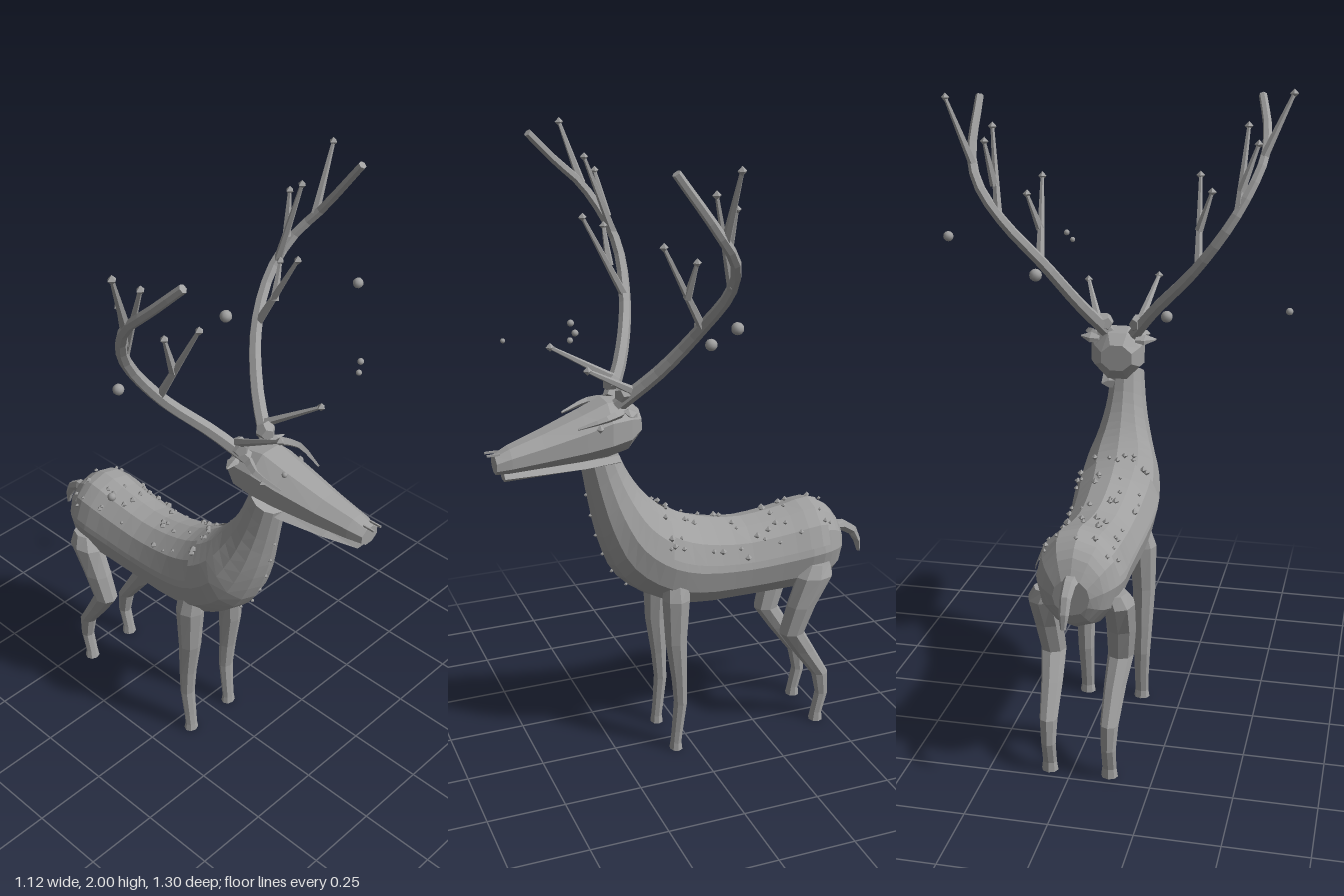
import * as THREE from 'three';

const V = (x, y, z) => new THREE.Vector3(x, y, z);
const CX = -0.025; // midline of the body

// Faceted skin through rings of points; closed rings get end caps and outward winding
function loft(rings, closed = true) {
  const pos = [], n = rings[0].length;
  const tri = (a, b, c) => pos.push(...a.toArray(), ...b.toArray(), ...c.toArray());
  for (let i = 0; i < rings.length - 1; i++) {
    for (let j = 0; j < (closed ? n : n - 1); j++) {
      const k = (j + 1) % n, A = rings[i], B = rings[i + 1];
      tri(A[j], A[k], B[k]);
      tri(A[j], B[k], B[j]);
    }
  }
  if (closed) {
    const cap = (r, flip) => {
      const c = V(0, 0, 0);
      r.forEach(p => c.addScaledVector(p, 1 / n));
      for (let j = 0; j < n; j++) {
        const a = r[j], b = r[(j + 1) % n];
        flip ? tri(c, b, a) : tri(c, a, b);
      }
    };
    cap(rings[0], true);
    cap(rings[rings.length - 1], false);
    let vol = 0;
    for (let i = 0; i < pos.length; i += 9) {
      const a = V(...pos.slice(i, i + 3)), b = V(...pos.slice(i + 3, i + 6)), c = V(...pos.slice(i + 6, i + 9));
      vol += a.dot(b.cross(c));
    }
    if (vol < 0) {
      for (let i = 0; i < pos.length; i += 9) {
        for (let k = 0; k < 3; k++) [pos[i + 3 + k], pos[i + 6 + k]] = [pos[i + 6 + k], pos[i + 3 + k]];
      }
    }
  }
  const g = new THREE.BufferGeometry();
  g.setAttribute('position', new THREE.Float32BufferAttribute(pos, 3));
  g.computeVertexNormals();
  return g;
}

// Elliptical ring from a centre and two half axes
function ring(c, u, v, n, a0 = 0, a1 = Math.PI * 2, closed = true) {
  return Array.from({ length: n }, (_, j) => {
    const a = a0 + (a1 - a0) * j / (closed ? n : n - 1);
    return c.clone().addScaledVector(u, Math.cos(a)).addScaledVector(v, Math.sin(a));
  });
}

// Tapered tube along a smooth path
function branch(pts, r0, r1, steps, sides) {
  const curve = new THREE.CatmullRomCurve3(pts.map(p => V(...p)));
  const f = curve.computeFrenetFrames(steps);
  return loft(Array.from({ length: steps + 1 }, (_, i) => {
    const r = r0 + (r1 - r0) * i / steps;
    return ring(curve.getPointAt(i / steps), f.normals[i].clone().multiplyScalar(r),
      f.binormals[i].clone().multiplyScalar(r), sides);
  }));
}

export function createModel() {
  const model = new THREE.Group();
  const grey = new THREE.MeshStandardMaterial({ color: 0xa0a0a0 });
  grey.name = 'grey';
  const shellGrey = new THREE.MeshStandardMaterial({ color: 0xa0a0a0, side: THREE.DoubleSide });
  shellGrey.name = 'shell grey';
  const add = (name, geo, mat = grey, parent = model) => {
    const m = new THREE.Mesh(geo, mat);
    m.name = name;
    parent.add(m);
    return m;
  };

  // Body and neck stations: top z, top y, bottom z, bottom y, half width
  const stations = [
    [-0.56, 0.68, -0.55, 0.565, 0.055], [-0.52, 0.75, -0.52, 0.52, 0.1], [-0.45, 0.785, -0.45, 0.49, 0.13],
    [-0.32, 0.765, -0.32, 0.485, 0.125], [-0.17, 0.755, -0.18, 0.485, 0.122], [-0.01, 0.79, -0.02, 0.49, 0.13],
    [0.07, 0.835, 0.12, 0.535, 0.137], [0.12, 0.88, 0.235, 0.63, 0.125], [0.16, 0.93, 0.29, 0.76, 0.095],
    [0.2, 1.0, 0.32, 0.9, 0.07], [0.24, 1.1, 0.345, 1.05, 0.055],
  ];
  const topLine = new THREE.CatmullRomCurve3(stations.map(s => V(s[4], s[1], s[0])));
  const bottomLine = new THREE.CatmullRomCurve3(stations.map(s => V(0, s[3], s[2])));
  const section = t => {
    const a = topLine.getPoint(t), b = bottomLine.getPoint(t), w = a.x;
    a.x = b.x = CX + 0.02 * Math.max(0, t - 0.6);
    return { c: a.clone().add(b).multiplyScalar(0.5), u: V(w, 0, 0), v: a.clone().sub(b).multiplyScalar(0.5) };
  };
  const bodyRings = [];
  for (let i = 0; i <= 26; i++) {
    const s = section(i / 26);
    bodyRings.push(ring(s.c, s.u, s.v, 12));
  }
  add('body', loft(bodyRings));

  // Thin raised coat over the back
  const coat = [];
  for (let i = 0; i <= 12; i++) {
    const s = section(0.17 + 0.42 * i / 12);
    coat.push(ring(s.c, s.u.multiplyScalar(1.04), s.v.multiplyScalar(1.05), 7, Math.PI * 0.06, Math.PI * 0.94, false));
  }
  add('backCoat', loft(coat, false), shellGrey);

  // Small studs scattered over the back and neck
  let seed = 7;
  const rand = () => (seed = (seed * 16807) % 2147483647) / 2147483647;
  const studs = new THREE.Group();
  studs.name = 'backStuds';
  model.add(studs);
  for (let i = 0; i < 54; i++) {
    const s = section(0.15 + 0.5 * rand()), a = Math.PI * (0.1 + 0.75 * Math.pow(rand(), 1.3));
    const m = add('stud', new THREE.OctahedronGeometry(0.006 + 0.007 * rand()), grey, studs);
    m.position.copy(s.c).addScaledVector(s.u, 1.04 * Math.cos(a)).addScaledVector(s.v, 1.06 * Math.sin(a));
  }
  for (let i = 0; i < 6; i++) {
    const s = section(0.66 + 0.05 * i);
    add('chestStud', new THREE.OctahedronGeometry(0.007), grey, studs).position.copy(s.c).addScaledVector(s.v, -1.02);
  }

  // Head: z, centre x, half width, bottom y, top y
  const head = [[0.16, -0.005, 0.05, 1.1, 1.19], [0.2, 0, 0.075, 1.06, 1.225], [0.27, 0.012, 0.09, 1.05, 1.235],
    [0.35, 0.02, 0.082, 1.047, 1.205], [0.48, 0.033, 0.062, 1.047, 1.16], [0.58, 0.045, 0.046, 1.047, 1.13],
    [0.625, 0.05, 0.035, 1.05, 1.11]];
  add('head', loft(head.map(([z, x, w, b, t]) =>
    ring(V(x, (b + t) / 2, z), V(w, 0, 0), V(0, (t - b) / 2, 0), 8, Math.PI / 8, Math.PI * 2.125)
      .map(p => p.setX(x + (p.x - x) * 1.08)))));
  add('jaw', loft([[0.23, 0.01, 0.05], [0.35, 0.02, 0.06], [0.5, 0.035, 0.045], [0.6, 0.048, 0.03]].map(([z, x, w]) =>
    ring(V(x, 1.038, z), V(w, 0, 0), V(0, 0.014, 0), 6))));
  for (const s of [-1, 1]) {
    add('noseBristle', new THREE.BoxGeometry(0.005, 0.006, 0.04)).position.set(0.052 + s * 0.015, 1.115, 0.63);
    // Leaf-shaped brow, eye and ear
    const hx = 0.018;
    add('brow', branch([[hx + s * 0.07, 1.205, 0.24], [hx + s * 0.098, 1.2, 0.29], [hx + s * 0.085, 1.175, 0.38]], 0.016, 0.004, 5, 4));
    add('eye', new THREE.OctahedronGeometry(0.014)).position.set(hx + s * 0.082, 1.165, 0.31);
    add('ear', loft([[0.06, 0.2, 0.012], [0.09, 0.21, 0.025], [0.125, 0.22, 0.004]].map(([x, z, r]) =>
      ring(V(s * x, 1.2, z), V(0, 0.35 * r, r), V(0, r * 0.5, 0), 5))));
  }

  // Tail
  const tail = [[-0.53, 0.675, 0.028, 0.02], [-0.58, 0.67, 0.02, 0.02], [-0.62, 0.645, 0.017, 0.018],
    [-0.64, 0.605, 0.015, 0.012], [-0.647, 0.565, 0.008, 0.005]];
  add('tail', loft(tail.map(([z, y, w, h], i) => {
    const a = i * 0.35;
    return ring(V(CX, y, z), V(w, 0, 0), V(0, Math.cos(a) * h, -Math.sin(a) * h), 6);
  })));

  // Legs: y, z, sideways offset, half width, half depth
  const frontLeg = [[0.6, 0.055, 0.09, 0.03, 0.045], [0.55, 0.057, 0.092, 0.046, 0.048], [0.4, 0.06, 0.097, 0.038, 0.037],
    [0.27, 0.05, 0.097, 0.031, 0.027], [0.17, 0.045, 0.095, 0.027, 0.022], [0.07, 0.055, 0.093, 0.023, 0.019],
    [0.025, 0.06, 0.093, 0.022, 0.018], [0, 0.06, 0.093, 0.026, 0.022]];
  const hindLeg = [[0.6, -0.44, 0.1, 0.04, 0.045], [0.56, -0.425, 0.115, 0.047, 0.064], [0.46, -0.38, 0.112, 0.045, 0.05],
    [0.36, -0.35, 0.105, 0.04, 0.043], [0.28, -0.4, 0.098, 0.034, 0.039], [0.18, -0.465, 0.094, 0.028, 0.03],
    [0.1, -0.475, 0.093, 0.023, 0.022], [0.03, -0.458, 0.093, 0.022, 0.019], [0, -0.456, 0.093, 0.026, 0.024]];
  for (const s of [-1, 1]) {
    for (const [name, rows] of [['frontLeg', frontLeg], ['hindLeg', hindLeg]]) {
      add(name, loft(rows.map(([y, z, o, w, d]) =>
        ring(V(CX + s * o, y, z), V(w, 0, 0), V(0, 0, d), 8))));
    }
  }

  // Antlers: a curved beam with tines, each as [base, tip]
  const antlers = [
    { name: 'rightAntler',
      beam: [[-0.05, 1.21, 0.23], [-0.13, 1.31, 0.165], [-0.27, 1.46, 0.1], [-0.39, 1.63, 0.09], [-0.46, 1.79, 0.17],
        [-0.457, 1.88, 0.265], [-0.43, 1.97, 0.355]],
      tines: [[[-0.46, 1.8, 0.175], [-0.54, 1.985, 0.22]], [[-0.395, 1.64, 0.09], [-0.41, 1.89, 0.18]],
        [[-0.4, 1.7, 0.11], [-0.447, 1.84, 0.135]], [[-0.275, 1.47, 0.1], [-0.257, 1.73, 0.238]],
        [[-0.268, 1.57, 0.15], [-0.306, 1.69, 0.155]], [[-0.075, 1.265, 0.21], [-0.1, 1.375, 0.4]]] },
    { name: 'leftAntler',
      beam: [[0.035, 1.21, 0.235], [0.11, 1.33, 0.12], [0.2, 1.47, 0.03], [0.31, 1.6, -0.015], [0.39, 1.7, 0.005],
        [0.435, 1.79, 0.07], [0.445, 1.965, 0.2]],
      tines: [[[0.425, 1.77, 0.05], [0.505, 1.97, 0.04]], [[0.33, 1.62, -0.01], [0.36, 1.885, 0.05]],
        [[0.345, 1.71, 0.01], [0.37, 1.845, -0.005]], [[0.21, 1.48, 0.03], [0.232, 1.725, 0.155]],
        [[0.22, 1.57, 0.08], [0.258, 1.68, 0.065]], [[0.065, 1.265, 0.2], [0.13, 1.36, 0.355]]] },
  ];
  for (const { name, beam, tines } of antlers) {
    const g = new THREE.Group();
    g.name = name;
    model.add(g);
    add('beam', branch(beam, 0.023, 0.013, 18, 6), grey, g);
    const burr = add('burr', new THREE.DodecahedronGeometry(0.032), grey, g);
    burr.position.set(beam[0][0] * 1.35, 1.25, 0.215);
    for (const [a, b] of tines) {
      add('tine', branch([a, b], 0.014, 0.006, 1, 5), grey, g);
      add('tineTip', new THREE.OctahedronGeometry(0.014), grey, g).position.set(...b);
    }
  }

  // Floating motes: x, y, z, radius
  [[-0.553, 1.318, 0.197, 0.012], [-0.22, 1.36, -0.135, 0.018], [0.192, 1.458, -0.09, 0.02], [0.543, 1.525, 0.14, 0.017],
    [-0.212, 1.378, 0.517, 0.008], [0.202, 1.478, 0.427, 0.009], [0.22, 1.503, 0.417, 0.01]].forEach(([x, y, z, r]) =>
    add('mote', new THREE.IcosahedronGeometry(r, 1)).position.set(x, y, z));

  return model;
}
